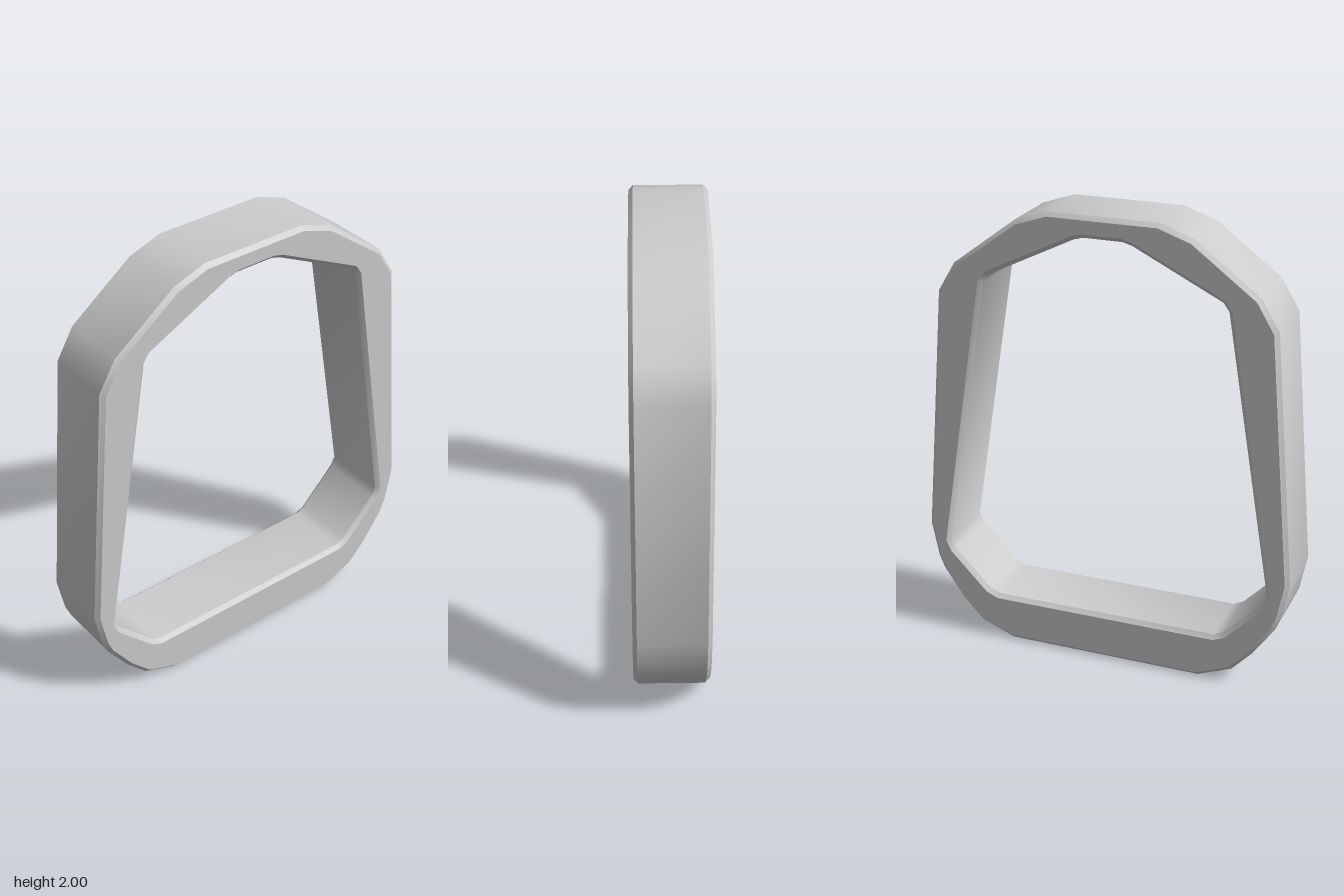
import * as THREE from 'three';
import { toCreasedNormals } from 'three/addons/utils/BufferGeometryUtils.js';

// Closed symmetric outline from its +x half, listed bottom to top
function mirrored(half) {
  const right = half.map(([x, y]) => new THREE.Vector2(x, y));
  const left = half.map(([x, y]) => new THREE.Vector2(-x, y)).reverse();
  return [...right, ...left];
}

export function createModel() {
  const group = new THREE.Group();
  group.name = 'ringFrame';

  // Outer silhouette: wide rounded base, tapering to a faceted arch
  const shape = new THREE.Shape(mirrored([
    [0.44, 0], [0.59, 0.06], [0.68, 0.155], [0.775, 0.29], [0.8, 0.35], [0.832, 0.51],
    [0.742, 1.61], [0.665, 1.74], [0.385, 1.95], [0.24, 2],
  ]));

  // Opening: trapezoid with clipped corners
  shape.holes.push(new THREE.Path(mirrored([
    [0.505, 0.212], [0.55, 0.232], [0.715, 0.4], [0.735, 0.44],
    [0.535, 1.67], [0.51, 1.705], [0.125, 1.895], [0.085, 1.906],
  ])));

  // Thick band with a small chamfer on every rim
  const bevel = 0.018, halfDepth = 0.162;
  const geometry = new THREE.ExtrudeGeometry(shape, {
    depth: 2 * (halfDepth - bevel),
    bevelEnabled: true,
    bevelSegments: 1,
    bevelThickness: bevel,
    bevelSize: bevel,
    bevelOffset: -bevel,
  });
  geometry.translate(0, 0, bevel - halfDepth);

  const band = new THREE.Mesh(
    toCreasedNormals(geometry, THREE.MathUtils.degToRad(40)),
    new THREE.MeshStandardMaterial({ color: 0xcccccc }),
  );
  band.name = 'band';
  group.add(band);
  return group;
}
